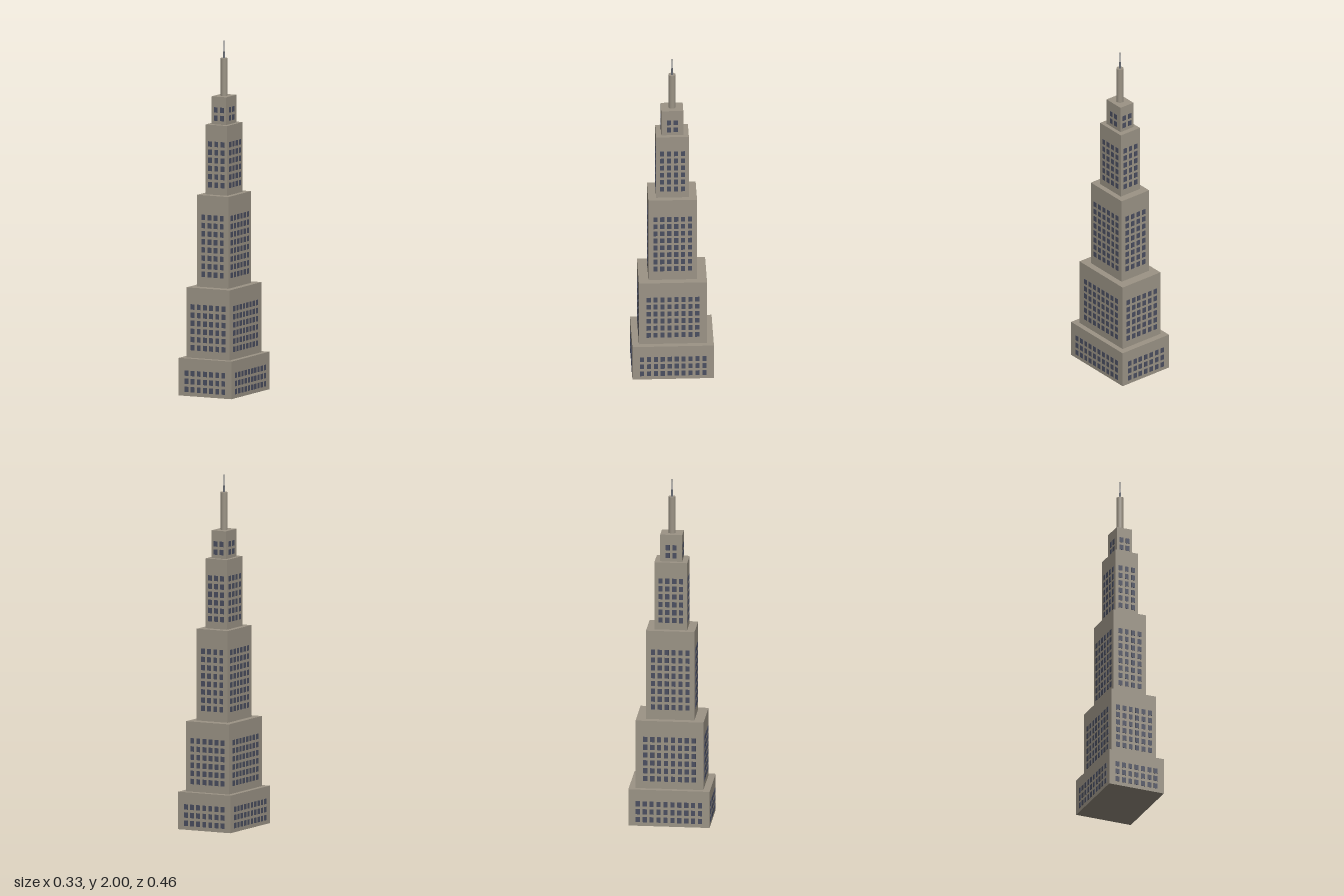
import * as THREE from 'three';
import { mergeGeometries } from 'three/addons/utils/BufferGeometryUtils.js';

const stone = new THREE.MeshStandardMaterial({ color: 0x9c9486 });
const glass = new THREE.MeshStandardMaterial({ color: 0x4a4e60 });
const metal = new THREE.MeshStandardMaterial({ color: 0x70747c });

// Window size, thickness and grid spacing
const WIN_W = 0.023, WIN_H = 0.03, WIN_D = 0.004;
const STEP_X = 0.0385, STEP_Y = 0.0455;

// Each setback tier: span in y, half sizes, window columns per face, rows, lowest row centre
const tiers = [
  { y0: 0, y1: 0.21, hx: 0.165, hz: 0.226, nx: 7, nz: 10, rows: 3, first: 0.037 },
  { y0: 0.21, y1: 0.602, hx: 0.135, hz: 0.189, nx: 6, nz: 8, rows: 6, first: 0.267 },
  { y0: 0.602, y1: 1.115, hx: 0.098, hz: 0.135, nx: 4, nz: 6, rows: 8, first: 0.673 },
  { y0: 1.115, y1: 1.505, hx: 0.068, hz: 0.091, nx: 3, nz: 4, rows: 6, first: 1.17 },
  { y0: 1.505, y1: 1.66, hx: 0.046, hz: 0.061, nx: 2, nz: 2, rows: 2, first: 1.54 },
];

function addMesh(parent, name, geometry, material, y = 0) {
  const mesh = new THREE.Mesh(geometry, material);
  mesh.name = name;
  mesh.position.y = y;
  parent.add(mesh);
}

// Window panes on all four faces of a tier, as one geometry
function windowGrid({ hx, hz, nx, nz, rows, first }) {
  const panes = [];
  for (let side = 0; side < 4; side++) {
    const onEnd = side % 2 === 0;
    const count = onEnd ? nx : nz;
    const offset = onEnd ? hz : hx;
    for (let r = 0; r < rows; r++) {
      for (let c = 0; c < count; c++) {
        const pane = new THREE.BoxGeometry(WIN_W, WIN_H, WIN_D);
        pane.translate((c - (count - 1) / 2) * STEP_X, first + r * STEP_Y, offset);
        panes.push(pane.rotateY(side * Math.PI / 2));
      }
    }
  }
  return mergeGeometries(panes);
}

export function createModel() {
  const tower = new THREE.Group();
  tower.name = 'skyscraper';

  // Stepped tiers with their windows
  tiers.forEach((t, i) => {
    const tier = new THREE.Group();
    tier.name = `tier${i + 1}`;
    const h = t.y1 - t.y0;
    addMesh(tier, 'walls', new THREE.BoxGeometry(t.hx * 2, h, t.hz * 2), stone, t.y0 + h / 2);
    addMesh(tier, 'windows', windowGrid(t), glass);
    tower.add(tier);
  });

  // Round mast and needle antenna
  addMesh(tower, 'mast', new THREE.CylinderGeometry(0.02, 0.02, 0.21, 16), stone, 1.765);
  addMesh(tower, 'antenna', new THREE.ConeGeometry(0.006, 0.13, 8), metal, 1.935);

  return tower;
}
